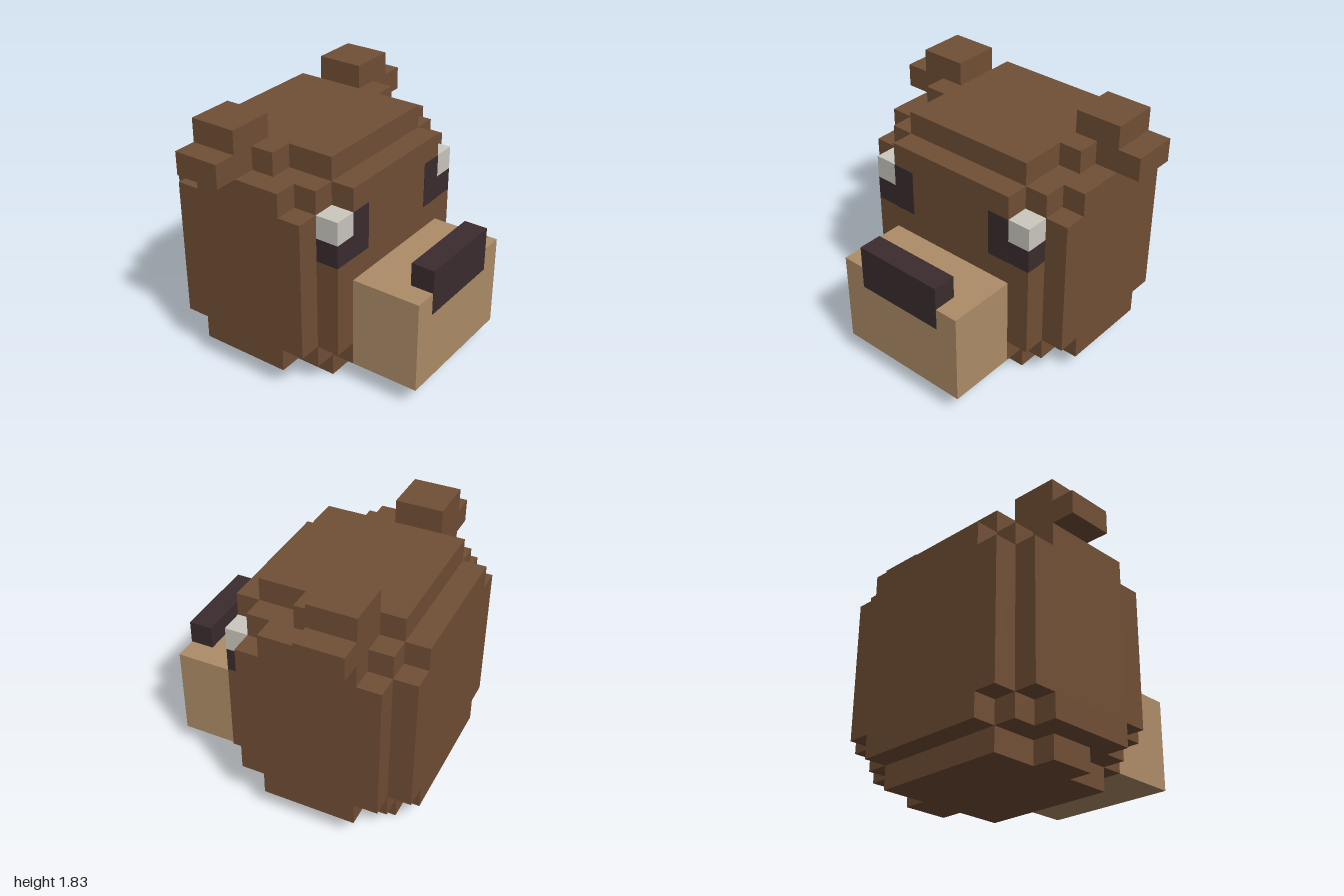
import * as THREE from 'three';

const U = 1 / 6; // one block

export function createModel() {
  const group = new THREE.Group();
  const material = (name, color) => {
    const m = new THREE.MeshStandardMaterial({ color });
    m.name = name;
    return m;
  };
  const brown = material('brown fur', 0x714f35);
  const tan = material('tan muzzle', 0xae8d68);
  const dark = material('dark nose and eyes', 0x3b2c2e);
  const white = material('eye white', 0xccc8c0);

  const add = (name, geometry, mat) => {
    const mesh = new THREE.Mesh(geometry, mat);
    mesh.name = name;
    group.add(mesh);
    return mesh;
  };

  // Box given by its limits, in blocks
  const box = (name, mat, x0, x1, y0, y1, z0, z1) => {
    const g = new THREE.BoxGeometry((x1 - x0) * U, (y1 - y0) * U, (z1 - z0) * U);
    g.translate((x0 + x1) / 2 * U, (y0 + y1) / 2 * U, (z0 + z1) / 2 * U);
    return add(name, g, mat);
  };

  // Cross-shaped plate one block thick: w x h1 joined with w1 x h
  const plate = (name, w, h1, w1, h, position, rotation) => {
    const [a, b, c, d] = [w, h1, w1, h].map((v) => v / 2 * U);
    const shape = new THREE.Shape([
      [a, -b], [a, b], [c, b], [c, d], [-c, d], [-c, b],
      [-a, b], [-a, -b], [-c, -b], [-c, -d], [c, -d], [c, -b],
    ].map(([x, y]) => new THREE.Vector2(x, y)));
    const g = new THREE.ExtrudeGeometry(shape, { depth: U, bevelEnabled: false });
    const mesh = add(name, g, brown);
    mesh.position.set(...position).multiplyScalar(U);
    mesh.rotation.set(...rotation);
  };

  // Head core and its stepped faces
  box('headCore', brown, -4, 4, 1, 9, -4.5, 1.5);
  plate('headBack', 8, 6, 6, 8, [0, 5, -4.5], [0, Math.PI, 0]);
  plate('headTop', 8, 2, 6, 6, [0, 9, -1.5], [-Math.PI / 2, 0, 0]);
  plate('headBottom', 8, 2, 6, 6, [0, 1, -1.5], [Math.PI / 2, 0, 0]);
  box('face', brown, -3, 3, 1, 9, 1.5, 2.5);

  // Muzzle and nose
  box('muzzle', tan, -3, 3, 1, 5, 2.5, 5.5);
  box('nose', dark, -2, 2, 5, 6, 4.5, 5.5);
  box('noseFront', dark, -2, 2, 4.05, 6, 5.49, 5.52);

  for (const [side, s] of [['left', 1], ['right', -1]]) {
    const mirrored = (name, mat, x0, x1, ...rest) =>
      box(side + name, mat, Math.min(s * x0, s * x1), Math.max(s * x0, s * x1), ...rest);

    plate(side + 'HeadSide', 6, 6, 4, 8, [4 * s, 5, -1.5], [0, s * Math.PI / 2, 0]);
    mirrored('Cheek', brown, 3, 4, 2, 6, 1.5, 2.5);

    // Eye: corner blocks plus a thin inner patch
    mirrored('EyeLower', dark, 3, 4, 6, 7, 1.5, 2.5);
    mirrored('EyeWhite', white, 3, 4, 7, 8, 1.5, 2.5);
    mirrored('EyeInner', dark, 2, 3, 6, 8, 2.49, 2.52);

    // Ear
    mirrored('EarBase', brown, 3, 6, 9, 10, -3.5, -1.5);
    mirrored('EarTip', brown, 3, 5, 10, 11, -3.5, -1.5);
  }
  return group;
}
